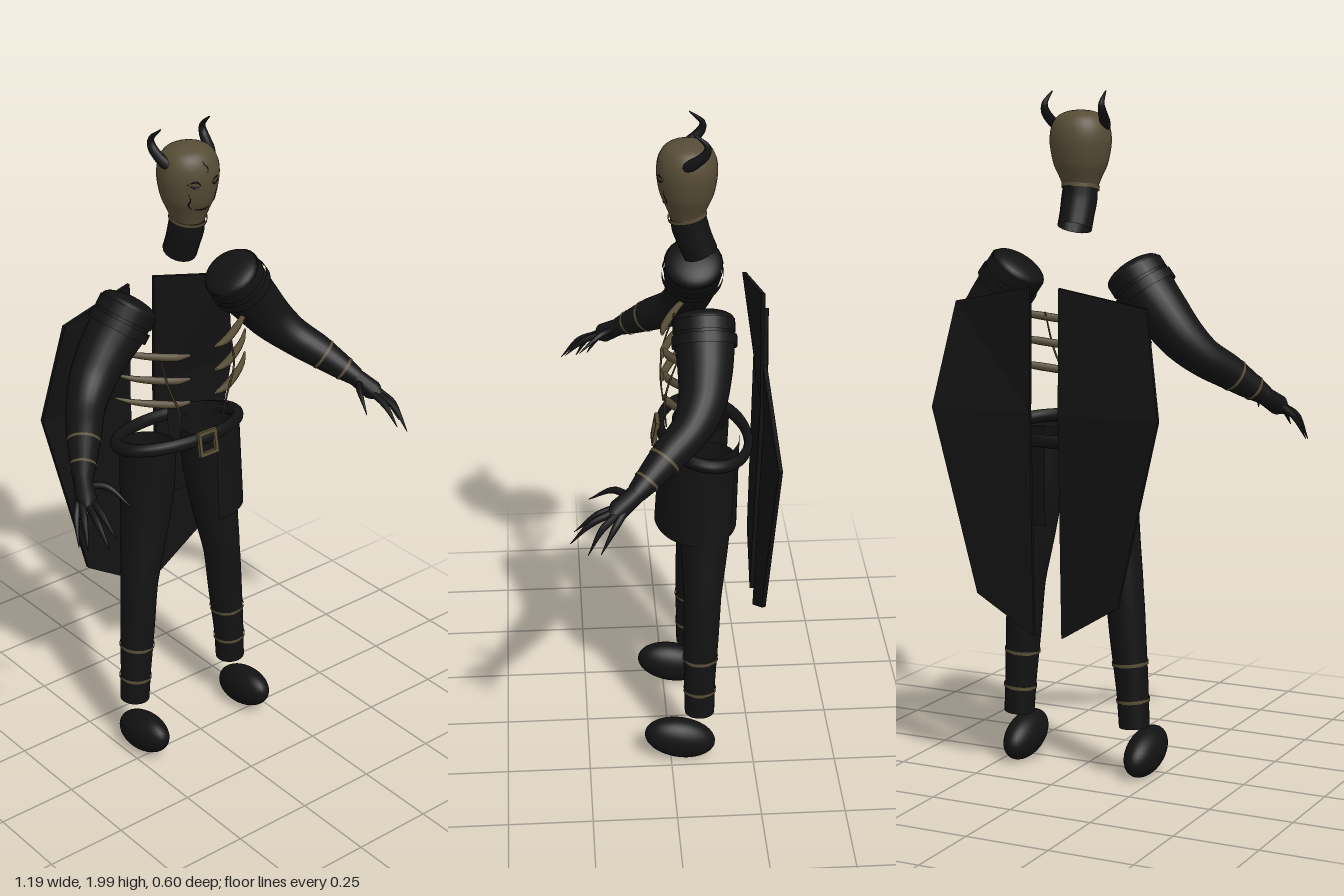
import * as THREE from 'three';

export function createModel() {
  const model = new THREE.Group();
  const mat = (name, color, side = THREE.FrontSide) => {
    const m = new THREE.MeshStandardMaterial({ color, side });
    m.name = name;
    return m;
  };
  const black = mat('black cloth', 0x121212, THREE.DoubleSide);
  const bone = mat('dull bone', 0x564c36, THREE.DoubleSide);
  const V = (x, y, z) => new THREE.Vector3(x, y, z);

  const add = (name, geo, material, parent = model) => {
    const mesh = new THREE.Mesh(geo, material);
    mesh.name = name;
    parent.add(mesh);
    return mesh;
  };

  // Tapered tube through points [x, y, z, radius]; s mirrors it in x
  const taper = (name, pts, material, s = 1, steps = 24, sides = 16) => {
    const curve = new THREE.CatmullRomCurve3(pts.map(p => V(p[0] * s, p[1], p[2])));
    const geo = new THREE.TubeGeometry(curve, steps, 1, sides);
    const pos = geo.attributes.position, nor = geo.attributes.normal;
    for (let i = 0; i <= steps; i++) {
      const t = curve.getUtoTmapping(i / steps) * (pts.length - 1);
      const k = Math.min(Math.floor(t), pts.length - 2);
      const r = THREE.MathUtils.lerp(pts[k][3], pts[k + 1][3], t - k);
      const c = curve.getPointAt(i / steps);
      for (let j = 0; j <= sides; j++) {
        const v = i * (sides + 1) + j;
        pos.setXYZ(v, c.x + nor.getX(v) * r, c.y + nor.getY(v) * r, c.z + nor.getZ(v) * r);
      }
    }
    return add(name, geo, material);
  };

  // Short band wrapped around an axis
  const band = (name, at, dir, radius, width, material, s) => {
    const m = add(name, new THREE.CylinderGeometry(radius, radius, width, 24, 1, true), material);
    m.position.set(at[0] * s, at[1], at[2]);
    m.quaternion.setFromUnitVectors(V(0, 1, 0), V(dir[0] * s, dir[1], dir[2]).normalize());
  };

  // Head
  const headProfile = [[0.044, 1.705], [0.05, 1.725], [0.062, 1.755], [0.078, 1.79], [0.087, 1.83],
    [0.09, 1.865], [0.084, 1.9], [0.066, 1.928], [0.035, 1.942], [0, 1.946]];
  const headCurve = new THREE.SplineCurve(headProfile.map(p => new THREE.Vector2(...p)));
  const head = add('head', new THREE.LatheGeometry(headCurve.getPoints(30), 32), bone);
  head.position.z = -0.056;
  head.scale.z = 0.95;
  // Points on the face surface, for seams and eyes
  const onFace = (x, y) => {
    let r = 0.08;
    for (let i = 0; i < headProfile.length - 1; i++) {
      const [a, b] = [headProfile[i], headProfile[i + 1]];
      if (y >= a[1] && y <= b[1]) r = THREE.MathUtils.mapLinear(y, a[1], b[1], a[0], b[0]);
    }
    return [x, y, -0.056 + 0.95 * Math.sqrt(Math.max(0, r * r - x * x))];
  };
  const seam = (name, pts, r, s = 1) =>
    taper(name, pts.map((p, i) => [...onFace(...p), i === 0 || i === pts.length - 1 ? r * 0.3 : r]), black, s, 12, 6);
  seam('browSeam', [[0.002, 1.93], [-0.006, 1.91], [0.006, 1.893], [0, 1.875]], 0.0022);
  seam('mouthSeam', [[-0.03, 1.775], [-0.01, 1.77], [0.01, 1.77], [0.03, 1.775]], 0.0022);
  for (const s of [-1, 1]) {
    seam('eyeSlit', [[0.018, 1.848], [0.033, 1.86], [0.055, 1.855]], 0.003, s);
    seam('eyeSlit', [[0.018, 1.848], [0.035, 1.843], [0.055, 1.855]], 0.003, s);
    seam('cheekSeam', [[0.05, 1.825], [0.043, 1.805], [0.046, 1.79], [0.035, 1.775]], 0.002, s);
    // Bent horns
    taper('horn', [[0.058, 1.885, -0.03, 0.013], [0.08, 1.905, -0.06, 0.016], [0.09, 1.94, -0.1, 0.013],
      [0.09, 1.962, -0.105, 0.009], [0.085, 1.998, -0.068, 0.002]], black, s, 24, 10);
  }

  // Neck and collar trim
  taper('neck', [[0, 1.73, -0.058, 0.05], [0, 1.69, -0.066, 0.052], [0, 1.65, -0.08, 0.05], [0, 1.612, -0.095, 0.05]], black);
  band('collarTrim', [0, 1.727, -0.057], [0, 1, 0.2], 0.055, 0.012, bone, 1);

  // Coat tails: five-cornered panels behind the body
  const corners = [[0.045, 1.455, -0.28], [0.3, 1.405, -0.25], [0.357, 1.1, -0.295], [0.225, 0.56, -0.272], [0.045, 0.45, -0.265]];
  for (const s of [-1, 1]) {
    const verts = [], idx = [], n = corners.length;
    const ring = [...corners, [0.045, 1.1, -0.285]];
    const m = ring.length;
    for (const dz of [0.006, -0.006]) for (const [x, y, z] of ring) verts.push(x * s, y, z + dz);
    // faces fan from the middle of the inner edge
    for (let i = 0; i < n - 1; i++) {
      idx.push(n, i + 1, i, m + n, m + i, m + i + 1);
    }
    for (let i = 0; i < m; i++) {
      const j = (i + 1) % m;
      idx.push(i, j, m + i, j, m + j, m + i);
    }
    if (s < 0) for (let i = 0; i < idx.length; i += 3) [idx[i], idx[i + 1]] = [idx[i + 1], idx[i]];
    let g = new THREE.BufferGeometry();
    g.setAttribute('position', new THREE.Float32BufferAttribute(verts, 3));
    g.setIndex(idx);
    g = g.toNonIndexed();
    g.computeVertexNormals();
    add('coatTail', g, black);
  }

  // Chest ribs and their lacing
  for (const s of [-1, 1]) {
    [1.35, 1.275, 1.2].forEach(y => taper('rib',
      [[0.048, y - 0.015, 0.01, 0.005], [0.09, y - 0.012, 0.002, 0.012], [0.15, y - 0.002, -0.025, 0.012],
        [0.2, y + 0.008, -0.055, 0.009], [0.24, y + 0.02, -0.09, 0.003]], bone, s, 20, 8));
    taper('lacing', [[0.08, 1.1, 0.006, 0.002], [0.09, 1.17, 0.012, 0.003], [0.12, 1.25, 0.005, 0.003],
      [0.13, 1.36, -0.03, 0.002]], bone, s, 20, 6);
  }

  // Tilted belt with a square buckle
  const belt = new THREE.Group();
  belt.name = 'belt';
  belt.position.set(0, 1.035, -0.11);
  belt.rotation.x = -0.17;
  model.add(belt);
  const strap = add('beltStrap', new THREE.TorusGeometry(0.205, 0.02, 12, 48).rotateX(Math.PI / 2), black, belt);
  strap.scale.z = 0.64;
  const frame = new THREE.Shape([[-0.034, -0.038], [0.034, -0.038], [0.034, 0.038], [-0.034, 0.038]].map(p => new THREE.Vector2(...p)));
  frame.holes.push(new THREE.Path([[-0.023, -0.026], [-0.023, 0.026], [0.023, 0.026], [0.023, -0.026]].map(p => new THREE.Vector2(...p))));
  const buckle = add('buckle', new THREE.ExtrudeGeometry(frame, { depth: 0.012, bevelEnabled: false }), bone, belt);
  buckle.position.set(0, -0.012, 0.138);

  // Skirt flap over the left hip
  const flap = add('skirtFlap', new THREE.CylinderGeometry(0.95, 1, 0.29, 32, 4, true, 0, Math.PI), black);
  flap.position.set(0.04, 0.91, -0.088);
  flap.scale.set(0.165, 1, 0.122);
  flap.rotation.x = -0.04;

  for (const s of [-1, 1]) {
    // Trouser leg with trim bands, and a separate rounded foot
    taper('leg', [[0.112, 1.02, -0.108, 0.085], [0.118, 0.88, -0.106, 0.082], [0.138, 0.72, -0.102, 0.07],
      [0.16, 0.57, -0.096, 0.057], [0.172, 0.42, -0.092, 0.053], [0.184, 0.27, -0.088, 0.047], [0.19, 0.165, -0.088, 0.045]], black, s, 32, 24);
    band('shinBand', [0.177, 0.355, -0.09], [-0.08, 1, 0], 0.0535, 0.01, bone, s);
    band('ankleBand', [0.186, 0.245, -0.088], [-0.08, 1, 0], 0.0495, 0.01, bone, s);
    const foot = add('foot', new THREE.SphereGeometry(1, 32, 20), black);
    foot.scale.set(0.052, 0.065, 0.11);
    foot.position.set(0.2 * s, 0.075, -0.028);
    foot.rotation.x = -0.24;

    // Arm reaching forward, with layered shoulder
    taper('arm', [[0.19, 1.485, -0.09, 0.08], [0.225, 1.44, -0.09, 0.084], [0.275, 1.38, -0.088, 0.076],
      [0.33, 1.31, -0.075, 0.067], [0.38, 1.255, -0.04, 0.056], [0.43, 1.21, 0.02, 0.05],
      [0.47, 1.17, 0.07, 0.04], [0.505, 1.135, 0.115, 0.028]], black, s, 40, 24);
    const cap = add('shoulderCap', new THREE.SphereGeometry(1, 24, 16), black);
    cap.scale.set(0.084, 0.03, 0.085);
    cap.position.set(0.185 * s, 1.492, -0.09);
    cap.quaternion.setFromUnitVectors(V(0, 1, 0), V(-0.58 * s, 0.81, 0).normalize());
    band('shoulderBand', [0.197, 1.478, -0.09], [-0.58, 0.81, 0], 0.087, 0.035, black, s);
    band('shoulderBand', [0.222, 1.444, -0.09], [-0.6, 0.8, 0], 0.091, 0.03, black, s);
    band('forearmBand', [0.442, 1.198, 0.035], [-0.6, 0.6, -0.72], 0.0485, 0.008, bone, s);
    band('wristBand', [0.482, 1.158, 0.085], [-0.6, 0.6, -0.72], 0.038, 0.008, bone, s);

    // Hand with clawed fingers
    taper('palm', [[0.495, 1.145, 0.1, 0.026], [0.515, 1.12, 0.135, 0.028], [0.53, 1.1, 0.165, 0.03],
      [0.545, 1.08, 0.19, 0.008]], black, s, 16, 14);
    const fingers = [
      [[0.545, 1.1, 0.15], [0.572, 1.07, 0.175], [0.595, 1.0, 0.215]],
      [[0.548, 1.095, 0.17], [0.57, 1.065, 0.21], [0.588, 0.995, 0.25]],
      [[0.535, 1.095, 0.18], [0.548, 1.07, 0.24], [0.55, 1.01, 0.297]],
      [[0.518, 1.1, 0.175], [0.522, 1.08, 0.225], [0.52, 1.03, 0.285]],
      [[0.5, 1.125, 0.135], [0.465, 1.125, 0.175], [0.435, 1.08, 0.242]],
    ];
    for (const [a, b, c] of fingers)
      taper('finger', [[...a, 0.011], [...b, 0.01], [...c, 0.001]], black, s, 12, 8);
  }
  return model;
}
